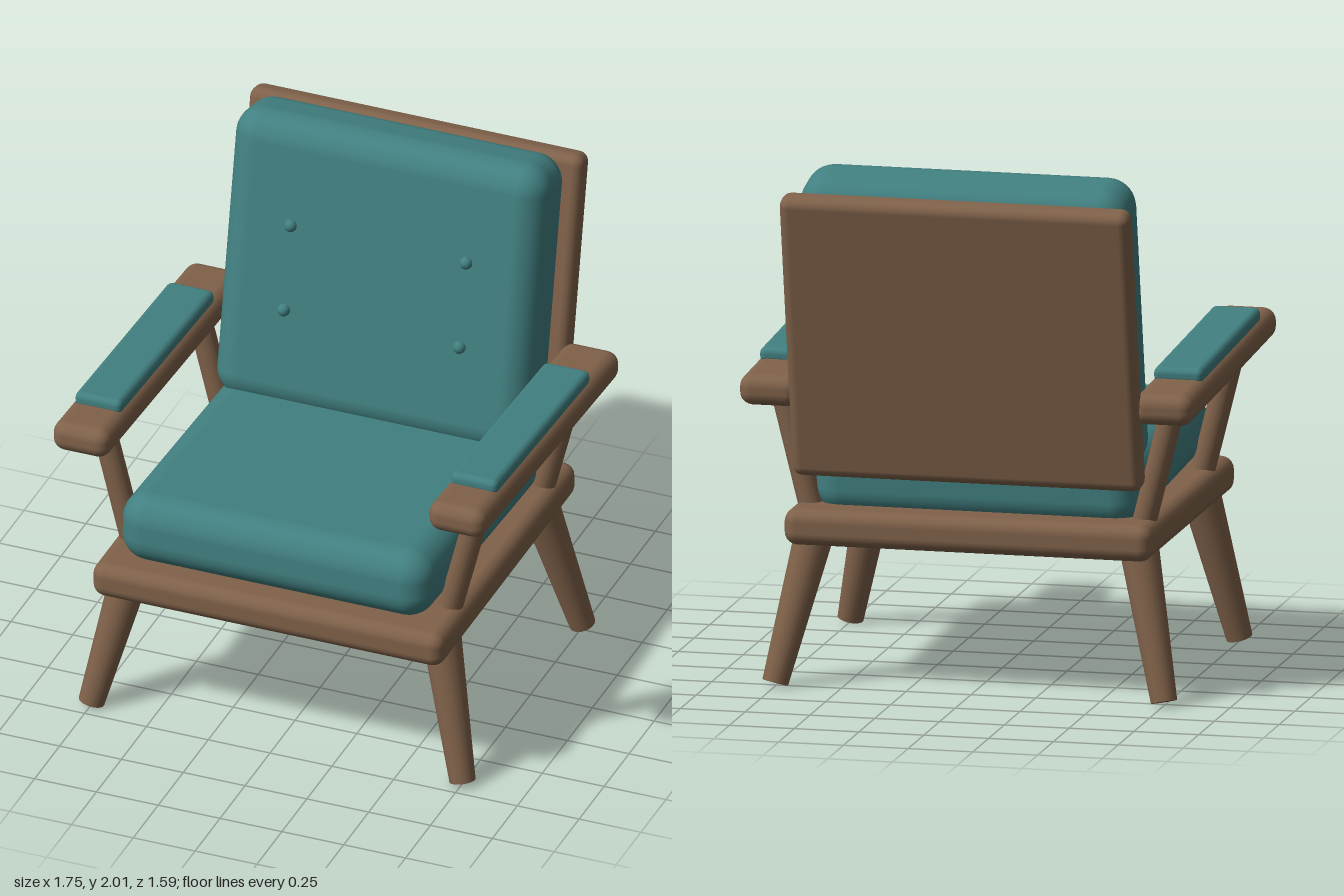
import * as THREE from 'three';
import { RoundedBoxGeometry } from 'three/addons/geometries/RoundedBoxGeometry.js';

const wood = new THREE.MeshStandardMaterial({ color: 0x80624a });
wood.name = 'brown wood';
const fabric = new THREE.MeshStandardMaterial({ color: 0x428081 });
fabric.name = 'teal fabric';

const SEAT_TILT = -0.05; // front edge raised
const BACK_TILT = -0.2; // leaning backwards

export function createModel() {
  const chair = new THREE.Group();
  chair.name = 'armchair';

  // Rounded slab, tilted about x
  const slab = (name, material, size, position, radius, segments, tilt = 0) => {
    const mesh = new THREE.Mesh(new RoundedBoxGeometry(...size, segments, radius), material);
    mesh.name = name;
    mesh.position.set(...position);
    mesh.rotation.x = tilt;
    chair.add(mesh);
    return mesh;
  };

  // Tapered round rod between two points
  const rod = (name, bottom, top, bottomRadius, topRadius) => {
    const a = new THREE.Vector3(...bottom);
    const b = new THREE.Vector3(...top);
    const axis = b.clone().sub(a);
    const mesh = new THREE.Mesh(
      new THREE.CylinderGeometry(topRadius, bottomRadius, axis.length(), 20), wood);
    mesh.name = name;
    mesh.position.copy(a).add(b).multiplyScalar(0.5);
    mesh.quaternion.setFromUnitVectors(new THREE.Vector3(0, 1, 0), axis.normalize());
    chair.add(mesh);
  };

  // Seat frame and back panel
  slab('seatFrame', wood, [1.42, 0.14, 1.38], [0, 0.62, 0.11], 0.05, 3);
  slab('backPanel', wood, [1.35, 1.135, 0.105], [0, 1.38, -0.637], 0.04, 3, BACK_TILT);

  // Cushions
  slab('seatCushion', fabric, [1.26, 0.28, 1.215], [0, 0.805, 0.147], 0.11, 4, SEAT_TILT);
  const back = slab('backCushion', fabric, [1.27, 1.165, 0.3], [0, 1.425, -0.447], 0.11, 4, BACK_TILT);

  // Buttons sunk into the front face of the back cushion
  const buttonGeometry = new THREE.SphereGeometry(0.025, 12, 8);
  for (const x of [-0.355, 0.355]) {
    for (const y of [-0.17, 0.17]) {
      const button = new THREE.Mesh(buttonGeometry, fabric);
      button.name = 'button';
      button.position.set(x, y + 0.0, 0.15);
      back.add(button);
    }
  }

  for (const [side, s] of [['left', 1], ['right', -1]]) {
    // Armrest with its pad
    slab(side + 'Armrest', wood, [0.23, 0.12, 1.4], [s * 0.76, 1.177, 0.09], 0.05, 3, SEAT_TILT);
    slab(side + 'ArmPad', fabric, [0.19, 0.06, 0.95], [s * 0.76, 1.25, 0.125], 0.025, 3, SEAT_TILT);

    // Posts between seat frame and armrest
    for (const [end, z, top] of [['Front', 0.535, 1.16], ['Back', -0.393, 1.12]]) {
      const lean = (top - 0.66) * 0.25;
      rod(side + end + 'Post', [s * 0.64, 0.66, z], [s * (0.64 + lean), top, z], 0.046, 0.046);
    }

    // Splayed legs
    rod(side + 'FrontLeg', [s * 0.75, 0.014, 0.68], [s * 0.62, 0.6, 0.578], 0.05, 0.076);
    rod(side + 'BackLeg', [s * 0.75, 0.014, -0.52], [s * 0.62, 0.6, -0.397], 0.05, 0.076);
  }

  return chair;
}
